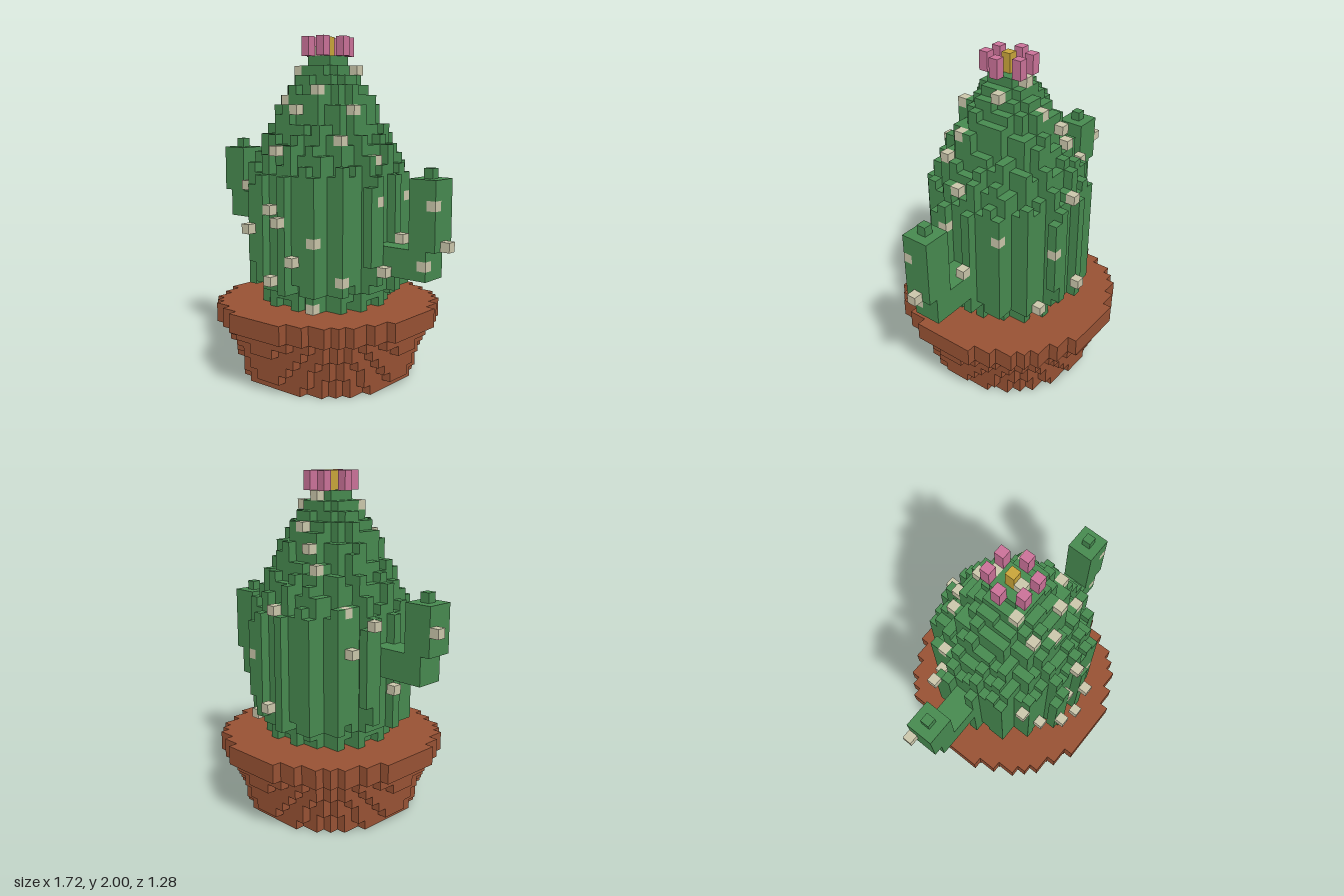
import * as THREE from 'three';

const V = 1 / 18; // edge of one cube

const mat = (name, color) => {
  const m = new THREE.MeshStandardMaterial({ color });
  m.name = name;
  return m;
};

// Outward directions of a cube, each with two edge axes (u x v = n)
const SIDES = [
  [[1, 0, 0], [0, 1, 0], [0, 0, 1]], [[-1, 0, 0], [0, 0, 1], [0, 1, 0]],
  [[0, 1, 0], [0, 0, 1], [1, 0, 0]], [[0, -1, 0], [1, 0, 0], [0, 0, 1]],
  [[0, 0, 1], [1, 0, 0], [0, 1, 0]], [[0, 0, -1], [0, 1, 0], [1, 0, 0]],
];

// Rib radius of the plant by layer, from the soil upwards
const BODY = [6.6, 7, 8.2, 8.35, 8.5, 8.6, 8.6, 8.6, 8.6, 8.6, 8.6, 8.6, 8.6, 8.3,
  8, 7.6, 7.2, 6.6, 6, 5.6, 5.2, 4.8, 4.3, 3.5, 2.6, 1.7];

// Spine cubes: x, layer, z
const SPINES = [
  // front
  [0, 34, 1], [-2, 32, 2], [2, 30, 4], [-2, 29, 4], [0, 28, 5], [5, 25, 4], [0, 24, 8],
  [-6, 20, 6], [-1, 18, 8], [1, 17, 9], [-3, 16, 9], [4, 15, 7], [-4, 13, 7], [2, 13, 8],
  [0, 11, 9], [6, 11, 5], [3, 8, 6],
  // left side
  [3, 32, -1], [5, 28, 2], [7, 23, 1], [8, 19, 2], [7, 19, -4], [9, 15, -1], [9, 12, 2],
  // back
  [0, 33, -2], [0, 30, -4], [-2, 28, -5], [-3, 26, -5], [0, 22, -8], [3, 17, -8],
  [0, 12, -9], [4, 10, -7],
  // right side
  [-6, 22, -4], [-9, 21, -3], [-7, 18, -4], [-9, 14, 0],
  // arms
  [-15, 21, -1], [15, 15, 0], [14, 19, 1], [13, 13, 1],
];

export function createModel() {
  const group = new THREE.Group();
  const cells = new Map(); // "x,y,z" -> part name
  const put = (part, x, y, z) => cells.set(`${x},${y},${z}`, part);
  const block = (part, x0, x1, y0, y1, z0, z1) => {
    for (let x = x0; x <= x1; x++)
      for (let y = y0; y <= y1; y++)
        for (let z = z0; z <= z1; z++) put(part, x, y, z);
  };
  const disc = (part, y, radiusAt) => {
    for (let x = -12; x <= 12; x++)
      for (let z = -12; z <= 12; z++)
        if (Math.hypot(x, z) <= radiusAt(x, z)) put(part, x, y, z);
  };

  // Tapered pot with a two-layer rim
  for (let y = 0; y < 8; y++) disc('pot', y, () => (y < 6 ? 8.75 + 0.34 * y : 11.5));

  // Body with sixteen ribs
  BODY.forEach((r, i) => disc('body', i + 8, (x, z) => {
    const sector = Math.floor(Math.atan2(z, x) / (Math.PI / 16) + 1e-6);
    return sector % 2 ? r : Math.max(r * 0.87, r - 1);
  }));

  // Bent arms, each ending in a small tip
  const arm = (part, s, y, top) => {
    const span = (a, b) => (s > 0 ? [a, b] : [-b, -a]);
    block(part, ...span(7, 13), y, y + 2, -1, 1);
    block(part, ...span(12, 14), y + 3, top, -1, 1);
    put(part, s * 13, top + 1, 0);
  };
  arm('leftArm', 1, 12, 21);
  arm('rightArm', -1, 16, 23);

  // Flower: six petals round a centre
  for (const [x, z] of [[2, 0], [-2, 0], [1, 2], [-1, 2], [1, -2], [-1, -2]])
    block('petals', x, x, 34, 35, z, z);
  block('flowerCentre', 0, 0, 34, 35, 0, 0);

  SPINES.forEach(([x, y, z]) => put('spines', x, y, z));

  // Keep only the exposed cube faces of each part
  const faces = {};
  for (const [key, part] of cells) {
    const c = key.split(',').map(Number);
    const out = (faces[part] ??= { pos: [], nor: [] });
    for (const [n, u, v] of SIDES) {
      if (cells.has(c.map((k, i) => k + n[i]).join(','))) continue;
      const corner = (a, b) => c.map((k, i) =>
        (k + (n[i] + a * u[i] + b * v[i]) / 2 + (i === 1 ? 0.5 : 0)) * V);
      for (const [a, b] of [[-1, -1], [1, -1], [1, 1], [-1, -1], [1, 1], [-1, 1]]) {
        out.pos.push(...corner(a, b));
        out.nor.push(...n);
      }
    }
  }

  const green = mat('cactusGreen', 0x478a50);
  const materials = {
    pot: mat('terracotta', 0x985234),
    body: green, leftArm: green, rightArm: green,
    petals: mat('petalPink', 0xcb7299),
    flowerCentre: mat('pollenYellow', 0xc9a53a),
    spines: mat('spineCream', 0xcbc7ab),
  };
  for (const [part, { pos, nor }] of Object.entries(faces)) {
    const g = new THREE.BufferGeometry();
    g.setAttribute('position', new THREE.Float32BufferAttribute(pos, 3));
    g.setAttribute('normal', new THREE.Float32BufferAttribute(nor, 3));
    const mesh = new THREE.Mesh(g, materials[part]);
    mesh.name = part;
    group.add(mesh);
  }
  return group;
}
